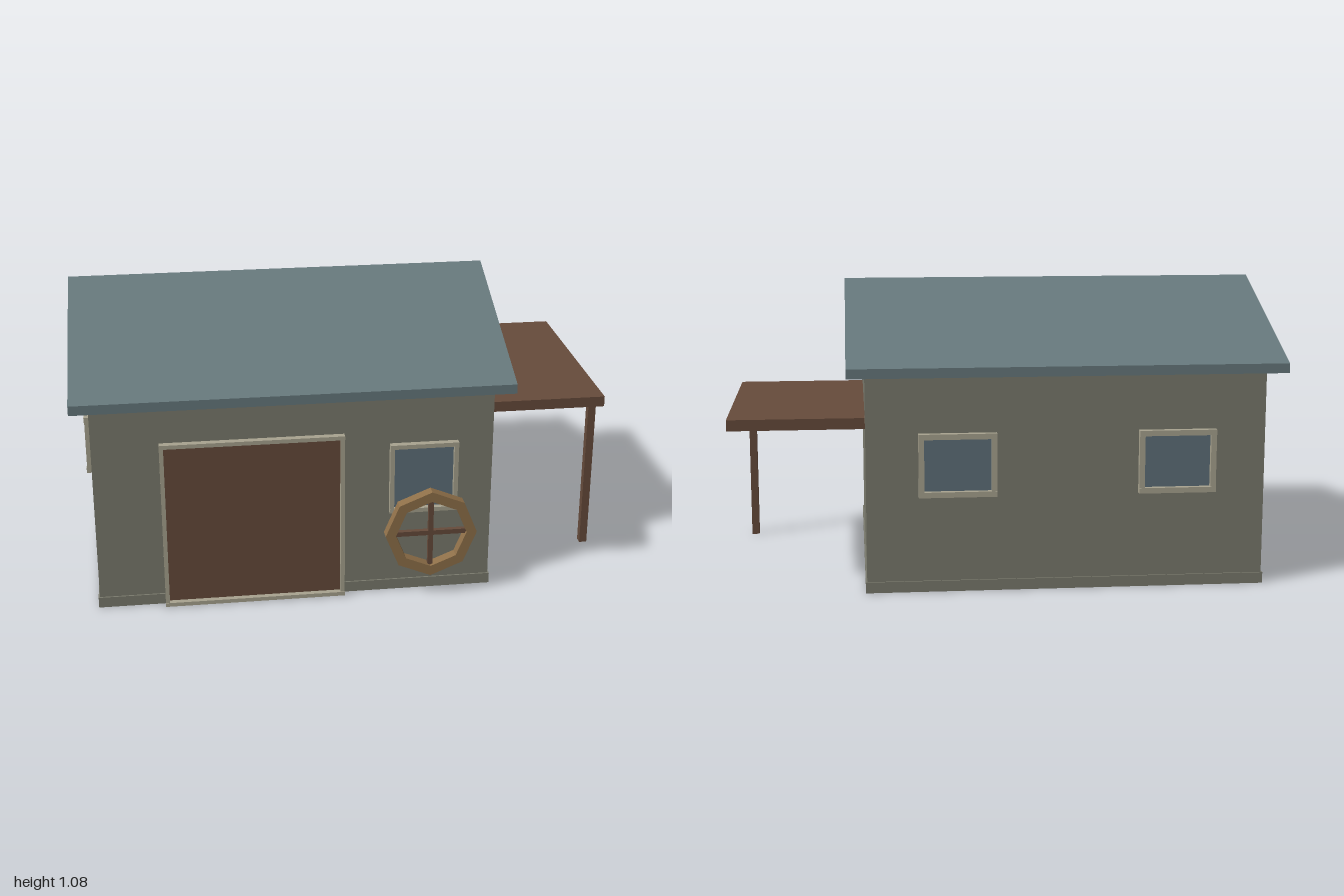
import * as THREE from 'three';

const paint = (name, color) => Object.assign(new THREE.MeshStandardMaterial({ color }), { name });

export function createModel() {
  const wallMat = paint('wall grey', 0x7a7a6d);
  const roofMat = paint('roof slate', 0x67797d);
  const woodMat = paint('dark wood', 0x664b3b);
  const trimMat = paint('pale trim', 0xa8a38f);
  const glassMat = paint('window glass', 0x5f707a);
  const rimMat = paint('light wood', 0x8f7049);

  const model = new THREE.Group();
  model.name = 'workshop';

  const add = (parent, name, geometry, material) => {
    const mesh = new THREE.Mesh(geometry, material);
    mesh.name = name;
    parent.add(mesh);
    return mesh;
  };

  // Box given by its lower and upper limits on each axis
  const box = (parent, name, material, [x0, x1], [y0, y1], [z0, z1]) => {
    const g = new THREE.BoxGeometry(x1 - x0, y1 - y0, z1 - z0);
    g.translate((x0 + x1) / 2, (y0 + y1) / 2, (z0 + z1) / 2);
    return add(parent, name, g, material);
  };

  // Extrude a (z, y) outline along x
  const extrudeAlongX = (points, x0, x1) => {
    const shape = new THREE.Shape(points.map(([z, y]) => new THREE.Vector2(z, y)));
    const g = new THREE.ExtrudeGeometry(shape, { depth: x1 - x0, bevelEnabled: false });
    return g.rotateY(-Math.PI / 2).translate(x1, 0, 0);
  };

  // Walls with gables, and the plinth around their foot
  const ridge = -0.005;
  add(model, 'walls', extrudeAlongX(
    [[-0.59, 0], [0.58, 0], [0.58, 0.818], [ridge, 1.052], [-0.59, 0.818]], -0.935, 0.51), wallMat);
  box(model, 'plinth', wallMat, [-0.94, 0.515], [0, 0.04], [-0.596, 0.586]);

  // Gabled roof slab
  add(model, 'roof', extrudeAlongX(
    [[-0.655, 0.79], [ridge, 1.05], [0.645, 0.79], [0.645, 0.825], [ridge, 1.083], [-0.655, 0.825]],
    -1, 0.575), roofMat);

  // Framed panel facing +z, with its back at z = 0 and its centre at the origin
  const framedPanel = (name, w, h, bar, panelMat) => {
    const group = new THREE.Group();
    group.name = name;
    const x = w / 2, y = h / 2, depth = [0.012, 0.036];
    box(group, 'panel', panelMat, [-x + bar * 0.8, x - bar * 0.8], [-y + bar * 0.8, y - bar * 0.8], [0.002, 0.016]);
    for (const s of [-1, 1]) {
      const cy = s * (y - bar / 2), cx = s * (x - bar / 2);
      box(group, 'frameRail', trimMat, [-x, x], [cy - bar / 2, cy + bar / 2], depth);
      box(group, 'frameStile', trimMat, [cx - bar / 2, cx + bar / 2], [-y + bar, y - bar], [0.012, 0.034]);
    }
    model.add(group);
    return group;
  };

  // Large door and front window
  framedPanel('door', 0.66, 0.645, 0.015, woodMat).position.set(-0.367, 0.325, 0.582);
  framedPanel('frontWindow', 0.25, 0.27, 0.016, glassMat).position.set(0.253, 0.465, 0.582);

  // Two back windows and one on the side wall
  for (const x of [0.183, -0.61]) {
    const win = framedPanel('backWindow', 0.28, 0.23, 0.02, glassMat);
    win.position.set(x, 0.469, -0.59);
    win.rotation.y = Math.PI;
  }
  const side = framedPanel('sideWindow', 0.27, 0.23, 0.02, glassMat);
  side.position.set(-0.937, 0.446, -0.01);
  side.rotation.y = -Math.PI / 2;

  // Canopy and its single post
  box(model, 'canopy', woodMat, [0.505, 1], [0.59, 0.63], [-0.53, 0.335]);
  box(model, 'canopyPost', woodMat, [0.945, 0.974], [0, 0.59], [0.285, 0.315]);

  // Eight-sided wheel leaning at the front
  const wheel = new THREE.Group();
  wheel.name = 'wheel';
  const octagon = (r) => Array.from({ length: 8 }, (_, i) =>
    new THREE.Vector2(r * Math.cos(i * Math.PI / 4), r * Math.sin(i * Math.PI / 4)));
  const rim = new THREE.Shape(octagon(0.169));
  rim.holes.push(new THREE.Path(octagon(0.131).reverse()));
  add(wheel, 'wheelRim', new THREE.ExtrudeGeometry(rim, { depth: 0.042, bevelEnabled: false }), rimMat);
  for (const angle of [0, Math.PI / 2]) {
    const spoke = box(wheel, 'wheelSpoke', woodMat, [-0.135, 0.135], [-0.009, 0.009], [0.012, 0.03]);
    spoke.rotation.z = angle;
  }
  wheel.position.set(0.276, 0.257, 0.617);
  model.add(wheel);

  return model;
}
